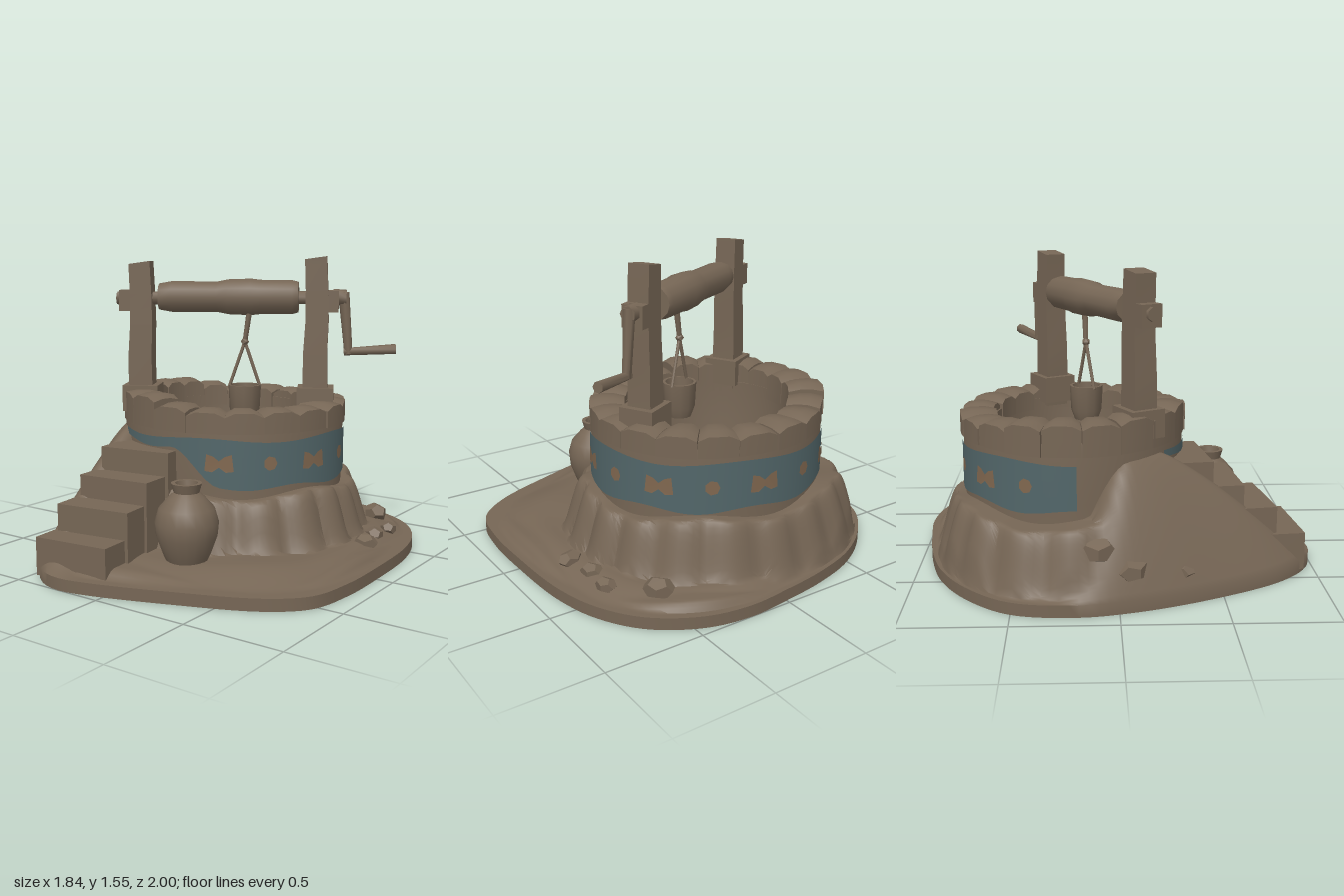
import * as THREE from 'three';
import { toCreasedNormals } from 'three/addons/utils/BufferGeometryUtils.js';

const V = (x, y, z) => new THREE.Vector3(x, y, z);
const CX = -0.075, CZ = -0.215, SZ = 0.935; // well centre and its depth ratio

export function createModel() {
  const model = new THREE.Group();
  model.name = 'well';
  const mat = (name, color) => {
    const m = new THREE.MeshStandardMaterial({ color });
    m.name = name;
    return m;
  };
  const brown = mat('earth brown', 0x766655);
  const teal = mat('faded teal', 0x526669);
  const ochre = mat('warm brown', 0x80674f);

  let seed = 7;
  const rnd = () => (seed = (seed * 16807) % 2147483647) / 2147483647;
  const smooth = THREE.MathUtils.smoothstep;

  const add = (name, geo, material = brown, parent = model, crease = 0.6) => {
    const mesh = new THREE.Mesh(crease ? toCreasedNormals(geo, crease) : geo, material);
    mesh.name = name;
    parent.add(mesh);
    return mesh;
  };
  const deform = (geo, fn) => {
    const p = geo.attributes.position, v = V(0, 0, 0);
    for (let i = 0; i < p.count; i++) {
      fn(v.fromBufferAttribute(p, i));
      p.setXYZ(i, v.x, v.y, v.z);
    }
    geo.computeVertexNormals();
    return geo;
  };
  // Wraps (angle, y, radius) coordinates around the well; angle 0 is +z, PI/2 is +x
  const wrap = (v) => v.set(CX + Math.sin(v.x) * v.z, v.y, CZ + Math.cos(v.x) * v.z * SZ);
  const rod = (name, a, b, r0, r1, parent = model, sides = 7) => {
    const mesh = add(name, new THREE.CylinderGeometry(r1, r0, a.distanceTo(b), sides), brown, parent, 1);
    mesh.position.copy(a).add(b).multiplyScalar(0.5);
    mesh.quaternion.setFromUnitVectors(V(0, 1, 0), b.clone().sub(a).normalize());
    return mesh;
  };

  // Ground: mound and stone footing as one height field inside the outline
  const outline = [[0.22, -1], [0.45, -0.96], [0.68, -0.82], [0.82, -0.62], [0.89, -0.38], [0.915, 0],
    [0.91, 0.3], [0.86, 0.53], [0.7, 0.68], [0.3, 0.85], [-0.1, 0.98], [-0.25, 1], [-0.38, 0.96],
    [-0.55, 0.8], [-0.76, 0.4], [-0.88, 0.05], [-0.92, -0.2], [-0.88, -0.5], [-0.72, -0.71],
    [-0.5, -0.86], [-0.25, -0.94], [0, -0.98]];
  const N = 132, ROWS = 30;
  const edge = new THREE.CatmullRomCurve3(outline.map(([x, z]) => V(x, 0, z)), true).getSpacedPoints(N);
  const height = (x, z, t) => {
    const dx = x - CX, dz = (z - CZ) / SZ, r = Math.hypot(dx, dz), a = Math.atan2(dz, dx);
    const base = 0.05 + 0.06 * smooth(1 - t, 0, 0.5) + 0.008 * Math.sin(9 * x) * Math.sin(8 * z + 1);
    const lump = 0.035 * Math.abs(Math.sin(a * 9.5 + 0.4 * Math.sin(3 * a)));
    const reach = 0.67 + lump + 0.06 * smooth(-x, 0.2, 0.7);
    const footing = 0.37 + 0.02 * Math.sin(5 * a) - 0.29 * smooth(r, reach - 0.05, reach + 0.08);
    const side = smooth(-x, 0.15, 0.48) * smooth(z, -0.35, 0.05);
    const mound = 0.06 + side * 0.6 * (1 - t ** 1.6);
    return Math.max(base, t < 0.97 ? footing * (1 - 0.8 * smooth(t, 0.8, 1)) : 0, mound);
  };
  const pos = [], index = [];
  for (let i = 0; i <= N; i++) {
    const e = edge[i % N], a = Math.atan2(e.x - CX, (e.z - CZ) / SZ);
    const inner = wrap(V(a, 0, 0.56));
    for (let j = 0; j <= ROWS; j++) {
      const t = j / ROWS, x = inner.x + (e.x - inner.x) * t, z = inner.z + (e.z - inner.z) * t;
      pos.push(x, height(x, z, t), z);
    }
    pos.push(e.x, 0, e.z, 0, 0, 0);
  }
  const W = ROWS + 3;
  for (let i = 0; i < N; i++) {
    for (let j = 0; j < W - 1; j++) {
      const a = i * W + j, b = a + W;
      index.push(a, b, a + 1, b, b + 1, a + 1);
    }
  }
  const ground = new THREE.BufferGeometry();
  ground.setAttribute('position', new THREE.Float32BufferAttribute(pos, 3));
  ground.setIndex(index);
  // Orient the faces so the top looks up
  const [p0, p1, p2] = [0, W, 1].map((k) => V(pos[k * 3], pos[k * 3 + 1], pos[k * 3 + 2]));
  if (p1.sub(p0).cross(p2.sub(p0)).y < 0) ground.setIndex(index.reverse());
  add('ground', ground, brown, model, 0.8);

  // Stairs
  [[0.21, 0.8], [0.345, 0.65], [0.46, 0.49], [0.58, 0.33]].forEach(([top, z], i) => {
    const step = add('step', new THREE.BoxGeometry(0.41 - i * 0.005, top - 0.02, 0.24));
    step.position.set(-0.245, (top + 0.02) / 2, z);
    step.rotation.y = 0.1 + 0.04 * (i % 2);
  });
  add('stairCore', new THREE.BoxGeometry(0.38, 0.19, 0.62)).position.set(-0.24, 0.11, 0.5);

  // Well shaft with its inside and floor
  const shaft = [[0.6, 0.25], [0.595, 0.45], [0.605, 0.7], [0.6, 0.74], [0.43, 0.74], [0.43, 0.5], [0.41, 0.35], [0, 0.33]];
  const wall = add('wellWall', new THREE.LatheGeometry(shaft.map(([x, y]) => new THREE.Vector2(x, y)), 64));
  wall.position.set(CX, 0, CZ);
  wall.scale.z = SZ;

  // Rim stones, taller at the back and right
  const COUNT = 19;
  for (let i = 0; i < COUNT; i++) {
    const a = (i / COUNT) * Math.PI * 2;
    const top = 0.785 + 0.05 * smooth(-Math.sin(a - 0.5), 0.1, 0.8) + 0.015 * rnd();
    const outer = 0.605 + 0.015 * rnd(), inner = 0.42 + 0.02 * rnd(), half = 0.158 + 0.012 * rnd();
    const geo = deform(new THREE.BoxGeometry(2, 1, 1, 4, 2, 3), (v) => {
      const round = 0.022 * (Math.abs(v.x) > 0.9 ? 1 : 0) + 0.012 * (Math.abs(v.z) > 0.4 ? 1 : 0);
      const y = v.y < -0.4 ? 0.68 : v.y < 0.1 ? 0.74 : top - round;
      wrap(v.set(a + v.x * half, y, v.z > 0 ? outer - (0.5 - v.z) * 0.18 : inner + (v.z + 0.5) * 0.18));
    });
    add('rimStone', geo, brown, model, 0.7);
  }

  // Painted band with alternating dots and notched bars
  const A0 = -0.68, A1 = 4.75;
  add('paintedBand', deform(new THREE.PlaneGeometry(1, 1, 96, 3), (v) => {
    const a = A0 + (v.x + 0.5) * (A1 - A0);
    const low = 0.6 - 0.19 * smooth(a, 0, 0.45) + 0.012 * Math.sin(7 * a);
    const high = 0.648 + 0.01 * Math.sin(5 * a);
    wrap(v.set(a, low + (v.y + 0.5) * (high - low), 0.609));
  }), teal, model, 0);
  const bar = new THREE.Shape([[-0.075, -0.04], [-0.035, -0.045], [0, -0.02], [0.035, -0.045], [0.075, -0.04],
    [0.065, 0.045], [0.03, 0.035], [0, 0.012], [-0.03, 0.035], [-0.065, 0.045]].map(([x, y]) => new THREE.Vector2(x, y)));
  for (let i = 0; i < 10; i++) {
    const geo = i % 2 ? new THREE.CircleGeometry(0.037, 7) : new THREE.ShapeGeometry(bar);
    add(i % 2 ? 'bandDot' : 'bandBar', deform(geo, (v) =>
      wrap(v.set(0.45 + i * 0.43 + v.x / 0.61, 0.535 + v.y, 0.614))), ochre, model, 0);
  }

  // Windlass: local x runs along the axle
  const windlass = new THREE.Group();
  windlass.name = 'windlass';
  windlass.position.set(-0.04, 0, -0.115);
  windlass.rotation.y = 0.49;
  model.add(windlass);
  for (const s of [-1, 1]) {
    const x = s * 0.465, top = s < 0 ? 1.515 : 1.54;
    const post = add('post', deform(new THREE.BoxGeometry(0.13, top - 0.7, 0.125, 1, 5, 1), (v) => {
      const k = 1 - 0.13 * smooth(v.y, -0.4, 0.45);
      v.set(v.x * k + 0.005 * Math.sin(v.y * 11), v.y + (v.y > 0.35 ? v.x * 0.12 : 0), v.z * k);
    }), brown, windlass);
    post.position.set(x, (top + 0.7) / 2, 0);
    add('postFoot', new THREE.BoxGeometry(0.19, 0.14, 0.18), brown, windlass).position.set(x, 0.795, 0);
    add('axleBlock', new THREE.BoxGeometry(0.06, 0.11, 0.11), brown, windlass).position.set(x + s * 0.085, 1.315, 0);
  }
  rod('axle', V(-0.6, 1.325, 0), V(0.6, 1.335, 0), 0.035, 0.035, windlass);
  const log = [[0, -0.37], [0.07, -0.37], [0.082, -0.3], [0.08, -0.06], [0.092, 0], [0.096, 0.12],
    [0.09, 0.17], [0.088, 0.34], [0.08, 0.37], [0, 0.37]];
  const drum = add('drum', new THREE.LatheGeometry(log.map(([r, y]) => new THREE.Vector2(r, y)), 12), brown, windlass);
  drum.position.set(0, 1.335, 0);
  drum.rotation.z = -Math.PI / 2;

  // Crank
  rod('crankHub', V(0.55, 1.335, 0), V(0.62, 1.335, 0), 0.045, 0.04, windlass);
  rod('crankArm', V(0.605, 1.36, 0), V(0.635, 1.04, 0), 0.03, 0.022, windlass);
  rod('crankHandle', V(0.61, 1.05, 0), V(0.88, 1.068, 0), 0.02, 0.027, windlass);

  // Rope and bucket
  const knot = V(0.045, 1.1, -0.145);
  rod('rope', V(0.07, 1.27, -0.15), knot, 0.016, 0.013);
  add('ropeKnot', new THREE.IcosahedronGeometry(0.022, 0)).position.copy(knot);
  for (const s of [-1, 1]) rod('bucketStrap', knot, V(0.045 + s * 0.072, 0.86, -0.145 - s * 0.04), 0.009, 0.009);
  const pail = [[0, 0.69], [0.062, 0.69], [0.08, 0.74], [0.087, 0.87], [0.073, 0.87], [0.065, 0.75], [0, 0.74]];
  add('bucket', new THREE.LatheGeometry(pail.map(([r, y]) => new THREE.Vector2(r, y)), 12)).position.set(0.045, 0, -0.145);

  // Jar
  const jar = [[0, 0.08], [0.09, 0.08], [0.115, 0.13], [0.148, 0.22], [0.155, 0.29], [0.135, 0.36], [0.09, 0.41],
    [0.062, 0.435], [0.075, 0.48], [0.055, 0.48], [0.045, 0.43], [0, 0.4]];
  add('jar', new THREE.LatheGeometry(jar.map(([r, y]) => new THREE.Vector2(r, y)), 20), brown, model, 0.7).position.set(0.165, 0, 0.53);

  // Loose rocks
  [[0.74, 0.1, -0.22, 0.06], [0.71, 0.1, -0.38, 0.055], [0.72, 0.1, -0.53, 0.05], [0.55, 0.12, -0.72, 0.07],
    [-0.78, 0.27, -0.1, 0.09], [-0.8, 0.18, 0.06, 0.08], [-0.72, 0.14, 0.3, 0.06]].forEach(([x, y, z, r]) => {
    const rock = add('rock', new THREE.DodecahedronGeometry(r, 0), brown, model, 0.3);
    rock.position.set(x, y, z);
    rock.scale.set(1.1, 0.75, 0.9);
    rock.rotation.y = rnd() * 6;
  });
  return model;
}
